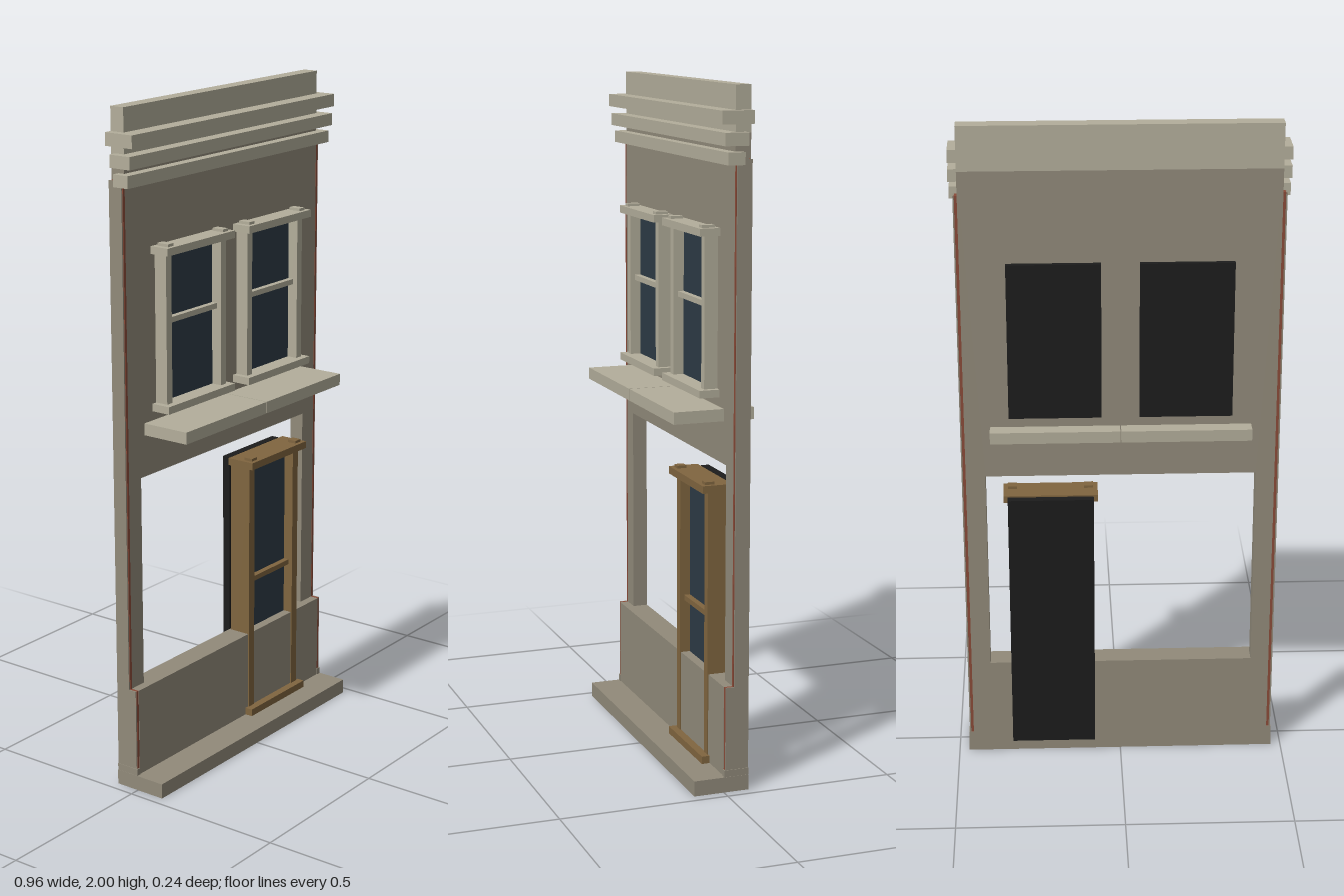
import * as THREE from 'three';

const mat = (name, color) => {
  const m = new THREE.MeshStandardMaterial({ color });
  m.name = name;
  return m;
};

export function createModel() {
  const model = new THREE.Group();
  model.name = 'shopFacade';
  const wallStone = mat('wallStone', 0x918a7a);
  const paleStone = mat('paleStone', 0xb3ae9b);
  const wood = mat('wood', 0x80653f);
  const glass = mat('glass', 0x2d3a45);
  const black = mat('blackBacking', 0x1c1c1c);
  const brick = mat('brick', 0x8a4a38);

  // Box given by its two extents on each axis
  const box = (name, material, [x0, x1], [y0, y1], [z0, z1], parent = model) => {
    const mesh = new THREE.Mesh(new THREE.BoxGeometry(x1 - x0, y1 - y0, z1 - z0), material);
    mesh.position.set((x0 + x1) / 2, (y0 + y1) / 2, (z0 + z1) / 2);
    mesh.name = name;
    parent.add(mesh);
    return mesh;
  };
  const group = (name, x = 0) => {
    const g = new THREE.Group();
    g.name = name;
    g.position.x = x;
    model.add(g);
    return g;
  };

  // Main wall with the shop opening cut out
  const outline = new THREE.Shape();
  outline.moveTo(-0.455, 0).lineTo(0.455, 0).lineTo(0.455, 1.87).lineTo(-0.455, 1.87).closePath();
  const opening = new THREE.Path();
  opening.moveTo(-0.4, 0.31).lineTo(-0.4, 0.94).lineTo(0.397, 0.94).lineTo(0.397, 0.31).closePath();
  outline.holes.push(opening);
  const wall = new THREE.Mesh(
    new THREE.ExtrudeGeometry(outline, { depth: 0.045, bevelEnabled: false }), wallStone);
  wall.position.z = -0.075;
  wall.name = 'wall';
  model.add(wall);

  // Parapet, stall riser and step
  box('parapet', paleStone, [-0.455, 0.455], [1.87, 2], [-0.075, -0.03]);
  box('stallRiser', wallStone, [-0.455, 0.455], [0.045, 0.31], [-0.03, -0.004]);
  box('step', wallStone, [-0.47, 0.47], [0, 0.045], [-0.075, 0.09]);

  // Brick edges with a stone return outside them
  for (const s of [-1, 1]) {
    const span = (a, b) => (s > 0 ? [a, b] : [-b, -a]);
    box('brickEdge', brick, span(0.455, 0.463), [0.045, 1.8], [-0.072, -0.029]);
    box('brickEdgeBase', brick, span(0.455, 0.463), [0.045, 0.31], [-0.03, -0.005]);
    box('edgeReturn', wallStone, span(0.463, 0.467), [0.045, 1.8], [-0.075, -0.031]);
    box('edgeReturnBase', wallStone, span(0.463, 0.467), [0.045, 0.31], [-0.031, -0.006]);
    box('edgeFoot', wallStone, span(0.455, 0.469), [0.045, 0.065], [-0.075, -0.002]);
  }

  // Stepped cornice
  [[1.785, 1.82, -0.05, 0, 0.478], [1.837, 1.873, -0.06, 0.01, 0.48], [1.895, 1.932, -0.075, 0.018, 0.479]]
    .forEach(([y0, y1, z0, z1, w]) => box('corniceBand', paleStone, [-w, w], [y0, y1], [z0, z1]));

  // Ledge in two lengths
  box('ledgeRight', paleStone, [-0.382, -0.0015], [1.063, 1.098], [-0.12, 0.12]);
  box('ledgeLeft', paleStone, [0.0015, 0.38], [1.063, 1.098], [-0.12, 0.12]);

  // Framed opening shared by the windows and the door, centred on its own x
  const frame = (g, trim, { inner, outer, cap, bottom, top, rail, back, front, lip, pane }) => {
    for (const s of [-1, 1]) {
      const xs = s > 0 ? [inner, outer] : [-outer, -inner];
      box('jamb', trim, xs, [bottom, top], [back, front], g);
      box('capBlock', trim, xs, [top + 0.022, top + 0.03], [-0.02, lip - 0.012], g);
    }
    box('lintel', trim, [-cap, cap], [top, top + 0.022], [back, lip], g);
    box('sill', trim, [-cap, cap], [bottom - 0.022, bottom], [back, lip], g);
    box('rail', trim, [-inner, inner], [rail - 0.008, rail + 0.008], [pane, pane + 0.018], g);
    box('pane', glass, [-inner, inner], [bottom, top], [pane - 0.004, pane], g);
  };

  // Upper windows
  for (const x of [-0.19, 0.19]) {
    const g = group(x > 0 ? 'windowLeft' : 'windowRight', x);
    frame(g, paleStone, {
      inner: 0.114, outer: 0.138, cap: 0.155, bottom: 1.147, top: 1.58, rail: 1.384,
      back: -0.035, front: 0.01, lip: 0.03, pane: -0.022,
    });
    box('backing', black, [-0.135, 0.135], [1.13, 1.6], [-0.09, -0.075], g);
  }

  // Shop door
  const door = group('door', 0.206);
  frame(door, wood, {
    inner: 0.1, outer: 0.127, cap: 0.14, bottom: 0.067, top: 0.85, rail: 0.478,
    back: -0.07, front: -0.001, lip: 0.02, pane: -0.032,
  });
  box('backing', black, [-0.127, 0.127], [0.045, 0.87], [-0.1, -0.0755], door);

  return model;
}
